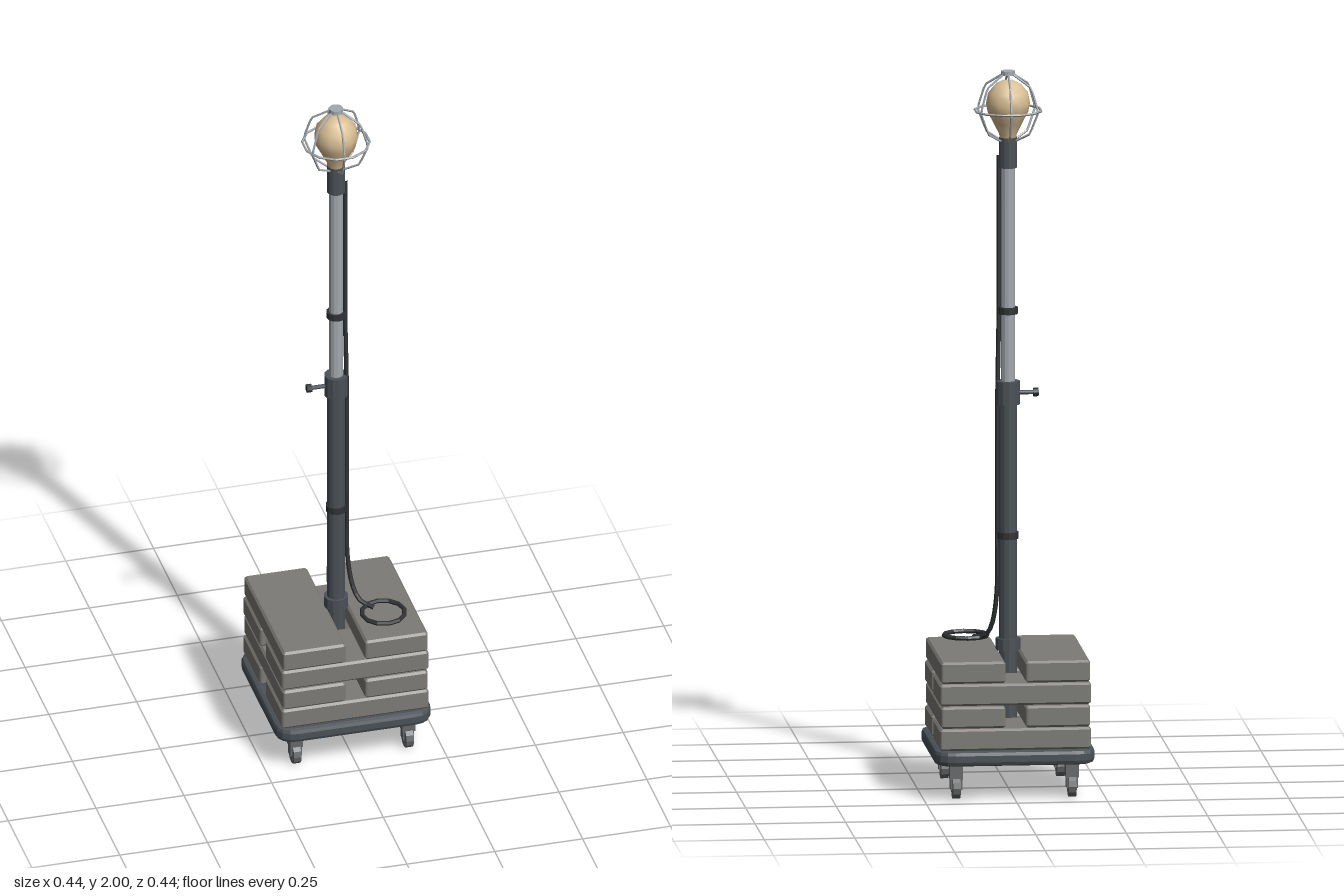
import * as THREE from 'three';

const mat = (name, color, flat = false) => {
  const m = new THREE.MeshStandardMaterial({ color, flatShading: flat });
  m.name = name;
  return m;
};

export function createModel() {
  const group = new THREE.Group();
  const dark = mat('dark painted steel', 0x4b5157, true);
  const concrete = mat('ballast concrete', 0x7c7b77, true);
  const metal = mat('bare metal', 0xa3a8ad, true);
  const rubber = mat('black rubber', 0x303235, true);
  const wheelGrey = mat('wheel grey', 0x66686a, true);
  const glass = mat('warm glass', 0xd9bf95);

  const add = (name, geo, material, x = 0, y = 0, z = 0, parent = group) => {
    const m = new THREE.Mesh(geo, material);
    m.name = name;
    m.position.set(x, y, z);
    parent.add(m);
    return m;
  };
  const cyl = (name, r, y0, y1, material, sides = 12) =>
    add(name, new THREE.CylinderGeometry(r, r, y1 - y0, sides), material, 0, (y0 + y1) / 2);

  // Bevelled slab with rounded corners: w along x, d along z, base at y = 0
  const slab = (w, h, d, corner, bevel, segments) => {
    const a = w / 2 - bevel, b = d / 2 - bevel, c = corner;
    const s = new THREE.Shape();
    s.moveTo(-a + c, -b).lineTo(a - c, -b).quadraticCurveTo(a, -b, a, -b + c);
    s.lineTo(a, b - c).quadraticCurveTo(a, b, a - c, b);
    s.lineTo(-a + c, b).quadraticCurveTo(-a, b, -a, b - c);
    s.lineTo(-a, -b + c).quadraticCurveTo(-a, -b, -a + c, -b);
    const g = new THREE.ExtrudeGeometry(s, {
      depth: h - 2 * bevel, bevelEnabled: true, bevelThickness: bevel,
      bevelSize: bevel, bevelSegments: segments, curveSegments: 4,
    });
    return g.rotateX(-Math.PI / 2).translate(0, bevel, 0);
  };

  // Wheeled base plate
  add('basePlate', slab(0.444, 0.042, 0.444, 0.045, 0.012, 2), dark, 0, 0.098);

  // Casters
  for (const x of [-0.16, 0.16]) for (const z of [-0.16, 0.16]) {
    const c = new THREE.Group();
    c.name = 'caster';
    c.position.set(x, 0, z);
    group.add(c);
    add('casterMount', new THREE.BoxGeometry(0.036, 0.045, 0.036), wheelGrey, 0, 0.0775, 0, c);
    for (const s of [-1, 1])
      add('forkArm', new THREE.BoxGeometry(0.005, 0.04, 0.026), wheelGrey, s * 0.0135, 0.046, 0, c);
    const wheel = new THREE.CylinderGeometry(0.032, 0.032, 0.021, 12).rotateZ(Math.PI / 2);
    add('wheel', wheel, wheelGrey, 0, 0.032, 0, c);
  }

  // Four layers of paired ballast blocks, turned crosswise layer by layer
  for (let i = 0; i < 4; i++) {
    const layer = new THREE.Group();
    layer.name = 'ballastLayer';
    layer.position.y = 0.14 + i * 0.0625;
    layer.rotation.y = i % 2 ? 0 : Math.PI / 2;
    group.add(layer);
    for (const s of [-1, 1])
      add('ballastBlock', slab(0.179, 0.06, 0.418, 0.003, 0.006, 1), concrete, s * 0.117, 0, 0, layer);
  }

  // Telescopic mast
  cyl('lowerMast', 0.025, 0.135, 1.1, dark);
  cyl('footCollar', 0.034, 0.385, 0.418, dark);
  cyl('lowerCableClip', 0.029, 0.695, 0.714, rubber);
  cyl('clampCollar', 0.033, 1.07, 1.135, dark);
  cyl('upperMast', 0.02, 1.1, 1.75, metal);
  cyl('upperCableClip', 0.027, 1.322, 1.341, rubber);

  // Clamp screw
  const across = (r, len) => new THREE.CylinderGeometry(r, r, len, 8).rotateZ(Math.PI / 2);
  add('clampScrew', across(0.006, 0.045), dark, -0.05, 1.102);
  add('clampKnob', across(0.012, 0.014), rubber, -0.077, 1.102);

  // Lamp socket and bulb
  cyl('lampSocket', 0.025, 1.73, 1.815, dark);
  const bulb = [[0.02, 1.8], [0.025, 1.825], [0.04, 1.855], [0.056, 1.885], [0.061, 1.91],
    [0.055, 1.94], [0.036, 1.963], [0.016, 1.973], [0, 1.975]].map(p => new THREE.Vector2(...p));
  add('bulb', new THREE.LatheGeometry(bulb, 12), glass);

  // Wire cage
  const rib = new THREE.CurvePath();
  const pts = [[0.022, 1.805], [0.066, 1.828], [0.092, 1.89], [0.07, 1.957], [0.012, 1.993]]
    .map(([x, y]) => new THREE.Vector3(x, y, 0));
  for (let i = 0; i < pts.length - 1; i++) rib.add(new THREE.LineCurve3(pts[i], pts[i + 1]));
  const ribGeo = new THREE.TubeGeometry(rib, 16, 0.0032, 5);
  for (let i = 0; i < 6; i++) add('cageRib', ribGeo, metal).rotation.y = Math.PI / 6 + i * Math.PI / 3;
  add('cageRing', new THREE.TorusGeometry(0.093, 0.0035, 5, 12).rotateX(Math.PI / 2), metal, 0, 1.89)
    .rotation.y = Math.PI / 12;
  cyl('cageCap', 0.02, 1.988, 2, metal);

  // Power cable running down the mast to a coil on the ballast
  const cable = new THREE.CatmullRomCurve3([[0.025, 1.765, 0.004], [0.025, 1.33, 0.004], [0.028, 1.1, 0.008],
    [0.029, 0.7, 0.008], [0.03, 0.54, 0.012], [0.042, 0.45, 0.03], [0.058, 0.417, 0.046],
    [0.088, 0.409, 0.077]].map(p => new THREE.Vector3(...p)), false, 'centripetal');
  add('cable', new THREE.TubeGeometry(cable, 60, 0.0065, 6), rubber);
  add('cableCoil', new THREE.TorusGeometry(0.06, 0.0065, 6, 12).rotateX(Math.PI / 2), rubber, 0.106, 0.409, 0.106);

  return group;
}
